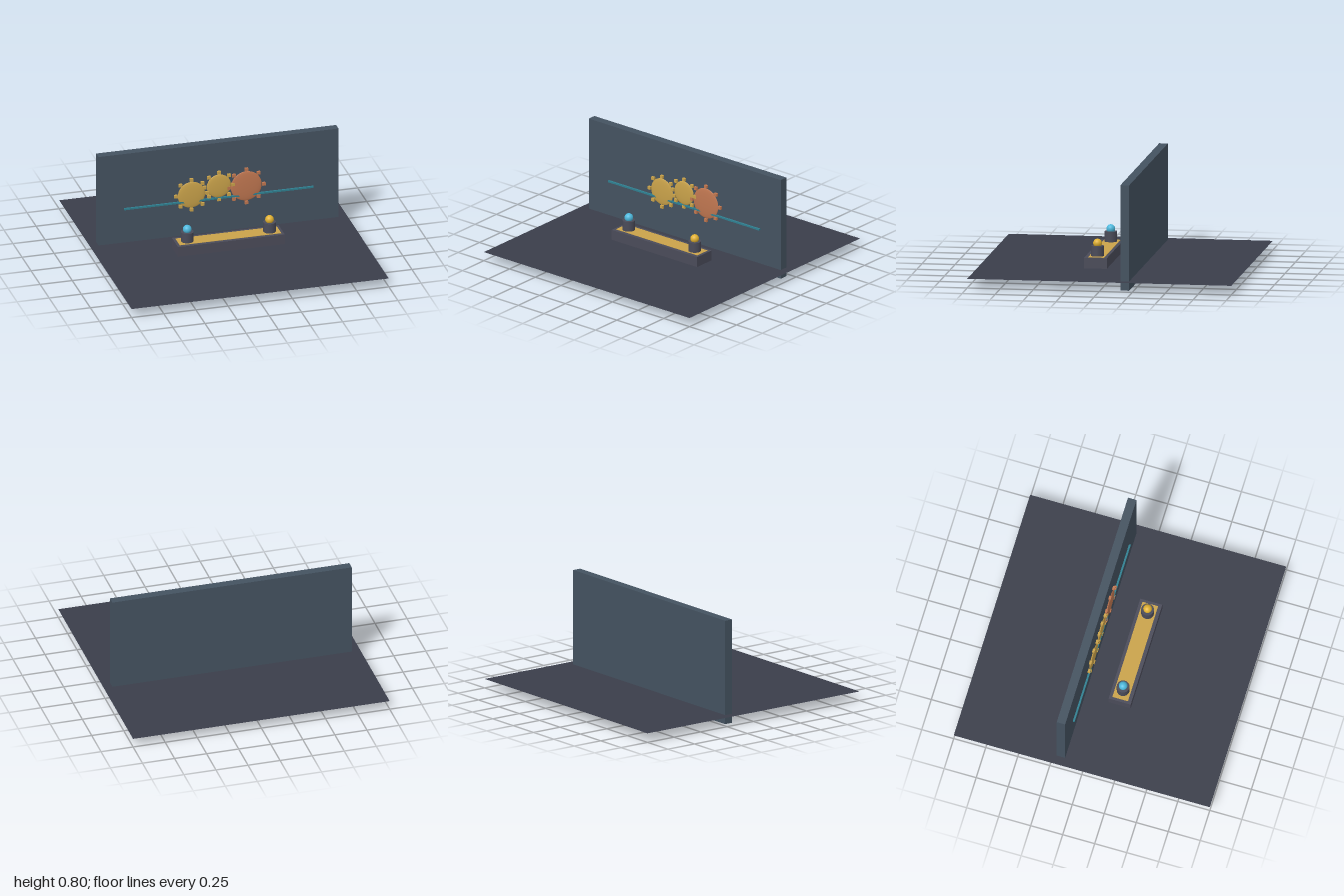
import * as THREE from 'three';

const mat = (color, extra = {}) => new THREE.MeshStandardMaterial({ color, ...extra });

function add(parent, name, geometry, material, x, y, z) {
  const mesh = new THREE.Mesh(geometry, material);
  mesh.name = name;
  mesh.position.set(x, y, z);
  parent.add(mesh);
  return mesh;
}

// Flattened round gear with eight small blocks around its rim
function makeGear(name, x, y, radius, material) {
  const gear = new THREE.Group();
  gear.name = name;
  gear.position.set(x, y, -0.142);
  const disc = add(gear, 'gearDisc', new THREE.SphereGeometry(radius, 32, 20), material, 0, 0, 0);
  disc.scale.z = 0.011 / radius;
  const toothGeometry = new THREE.BoxGeometry(0.026, 0.024, 0.02);
  for (let i = 0; i < 8; i++) {
    const a = (i * Math.PI) / 4, r = radius + 0.016;
    add(gear, 'gearTooth', toothGeometry, material, r * Math.cos(a), r * Math.sin(a), 0);
  }
  return gear;
}

export function createModel() {
  const model = new THREE.Group();
  model.name = 'gearDisplay';
  const gold = mat(0xc9a24a), copper = mat(0xbf7650), dark = mat(0x4a4b59);

  // Thin floor sheet and the wall that passes through it
  const floor = add(model, 'floor', new THREE.PlaneGeometry(2, 2), mat(0x3a3d4a, { side: THREE.DoubleSide }), 0, 0.07, 0);
  floor.rotation.x = -Math.PI / 2;
  add(model, 'wall', new THREE.BoxGeometry(1.866, 0.8, 0.066), mat(0x445260), 0, 0.4, -0.183);

  // Wall decoration: rail and three gears
  add(model, 'rail', new THREE.BoxGeometry(1.47, 0.013, 0.014), mat(0x2f7f90), 0, 0.348, -0.142);
  model.add(makeGear('rightGear', -0.213, 0.402, 0.106, gold));
  model.add(makeGear('middleGear', 0, 0.448, 0.094, gold));
  model.add(makeGear('leftGear', 0.213, 0.422, 0.12, copper));

  // Console with inlaid top
  add(model, 'consoleBase', new THREE.BoxGeometry(0.83, 0.08, 0.172), dark, 0, 0.111, 0.121);
  add(model, 'consoleInlay', new THREE.BoxGeometry(0.79, 0.006, 0.122), gold, 0, 0.15, 0.119);

  // Lamp posts with glowing balls
  for (const [side, color] of [[-1, 0x4db8dc], [1, 0xe0b030]]) {
    const lamp = new THREE.Group();
    lamp.name = side < 0 ? 'rightLamp' : 'leftLamp';
    lamp.position.set(side * 0.32, 0, 0.12);
    add(lamp, 'lampPost', new THREE.CylinderGeometry(0.048, 0.048, 0.08, 32), dark, 0, 0.19, 0);
    add(lamp, 'lampBall', new THREE.SphereGeometry(0.033, 24, 16), mat(color), 0, 0.249, 0);
    model.add(lamp);
  }
  return model;
}
